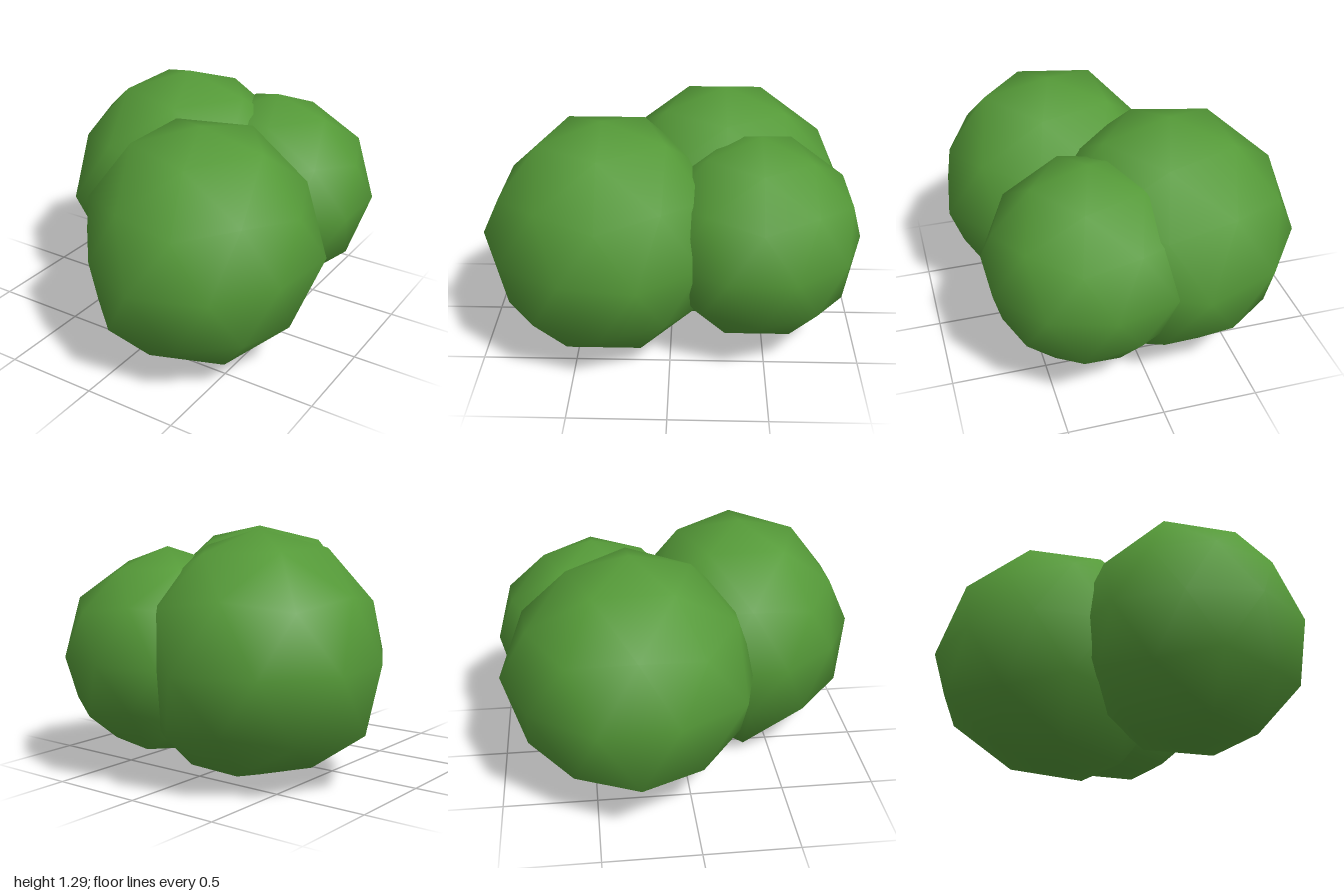
import * as THREE from 'three';
import { mergeVertices } from 'three/addons/utils/BufferGeometryUtils.js';

// Heights of the nine vertex rings of a once-divided icosahedron standing on its pole
const RINGS = [1, 0.8507, 0.5257, 0.4472, 0, -0.4472, -0.5257, -0.8507, -1];

// Icosahedron with poles on y, divided once
function icosphere() {
  const verts = [0, 1, 0];
  for (const [y, turn] of [[0.4472, 0], [-0.4472, Math.PI / 5]]) {
    for (let k = 0; k < 5; k++) {
      const a = turn + k * Math.PI * 0.4;
      verts.push(0.8944 * Math.cos(a), y, 0.8944 * Math.sin(a));
    }
  }
  verts.push(0, -1, 0);
  const faces = [];
  for (let k = 0; k < 5; k++) {
    const n = (k + 1) % 5;
    faces.push(0, 1 + n, 1 + k, 1 + k, 1 + n, 6 + k, 6 + k, 1 + n, 6 + n, 11, 6 + k, 6 + n);
  }
  return new THREE.PolyhedronGeometry(verts, faces, 1, 1);
}

// Lumpy ball: each vertex is moved in or out to the radius listed for its ring
function lumpGeometry(radii) {
  let g = icosphere();
  g.deleteAttribute('normal');
  g.deleteAttribute('uv');
  g = mergeVertices(g, 1e-3);
  const p = g.attributes.position;
  const v = new THREE.Vector3();
  for (let i = 0; i < p.count; i++) {
    v.fromBufferAttribute(p, i).normalize();
    let ring = 0;
    RINGS.forEach((y, r) => { if (Math.abs(y - v.y) < Math.abs(RINGS[ring] - v.y)) ring = r; });
    const step = (Math.round(Math.atan2(v.z, v.x) / (Math.PI / 10)) + 20) % 20;
    const row = radii[ring];
    const r = row.length === 1 ? row[0] : row[Math.floor(step / (20 / row.length))];
    v.multiplyScalar(r);
    p.setXYZ(i, v.x, v.y, v.z);
  }
  g.computeVertexNormals();
  return g;
}

// Ring radii from top pole to bottom pole
const LUMPS = [
  {
    name: 'frontFoliage', at: [0.25, 0.63, 0.35],
    radii: [
      [0.64], [0.67, 0.64, 0.655, 0.655, 0.655], [0.605, 0.61, 0.62, 0.63, 0.63],
      [0.63, 0.615, 0.625, 0.63, 0.63],
      [0.6, 0.63, 0.65, 0.595, 0.62, 0.65, 0.63, 0.63, 0.63, 0.65],
      [0.635, 0.655, 0.62, 0.63, 0.63], [0.625, 0.63, 0.63, 0.63, 0.63],
      [0.635, 0.645, 0.685, 0.63, 0.635], [0.6],
    ],
  },
  {
    name: 'leftBackFoliage', at: [-0.23, 0.63, -0.285],
    radii: [
      [0.66], [0.66, 0.65, 0.66, 0.66, 0.64], [0.66, 0.66, 0.66, 0.66, 0.65],
      [0.66, 0.66, 0.65, 0.66, 0.66],
      [0.66, 0.66, 0.66, 0.69, 0.645, 0.673, 0.67, 0.695, 0.63, 0.66],
      [0.66, 0.66, 0.716, 0.66, 0.66], [0.66, 0.66, 0.66, 0.66, 0.66],
      [0.7, 0.69, 0.628, 0.64, 0.68], [0.63],
    ],
  },
  {
    name: 'rightBackFoliage', at: [0.24, 0.63, -0.46],
    radii: [
      [0.56], [0.55, 0.55, 0.55, 0.55, 0.53], [0.55, 0.55, 0.55, 0.55, 0.55],
      [0.55, 0.55, 0.55, 0.575, 0.55],
      [0.56, 0.57, 0.55, 0.55, 0.55, 0.55, 0.56, 0.54, 0.544, 0.557],
      [0.55, 0.55, 0.55, 0.53, 0.55], [0.55, 0.55, 0.55, 0.55, 0.55],
      [0.55, 0.55, 0.55, 0.54, 0.55], [0.52],
    ],
  },
];

export function createModel() {
  const group = new THREE.Group();
  group.name = 'bush';
  const leaf = new THREE.MeshStandardMaterial({ color: 0x559a38 });
  leaf.name = 'leaf green';
  for (const { name, at, radii } of LUMPS) {
    const mesh = new THREE.Mesh(lumpGeometry(radii), leaf);
    mesh.name = name;
    mesh.position.set(...at);
    group.add(mesh);
  }
  return group;
}
